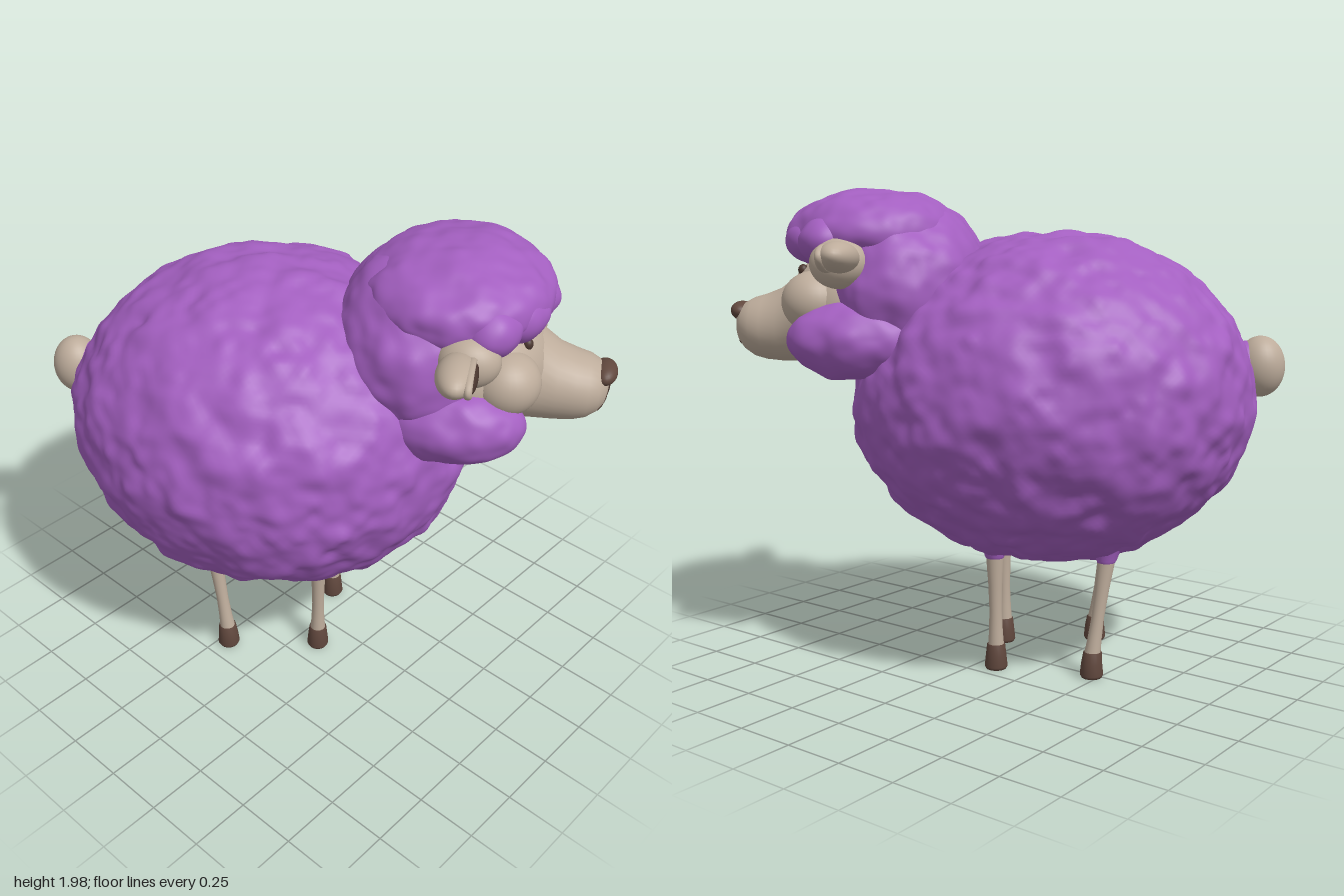
import * as THREE from 'three';
import { mergeVertices } from 'three/addons/utils/BufferGeometryUtils.js';

const mat = (name, color) => {
  const m = new THREE.MeshStandardMaterial({ color });
  m.name = name;
  return m;
};

// Smooth value noise, roughly -1..1
function hash(x, y, z) {
  let h = (Math.imul(x, 374761393) + Math.imul(y, 668265263) + Math.imul(z, 1274126177)) | 0;
  h = Math.imul(h ^ (h >>> 13), 1103515245);
  return ((h ^ (h >>> 16)) >>> 0) / 2147483648 - 1;
}
function noise(x, y, z) {
  const i = Math.floor(x), j = Math.floor(y), k = Math.floor(z);
  const s = (t) => t * t * (3 - 2 * t), mix = THREE.MathUtils.lerp;
  const u = s(x - i), v = s(y - j), w = s(z - k);
  const row = (b, c) => mix(hash(i, b, c), hash(i + 1, b, c), u);
  const plane = (c) => mix(row(j, c), row(j + 1, c), v);
  return mix(plane(k), plane(k + 1), w);
}

// Lumpy fleece ellipsoid
function woolGeometry(rx, ry, rz, detail, amp, seed) {
  let g = new THREE.IcosahedronGeometry(1, detail);
  g.deleteAttribute('uv');
  g.deleteAttribute('normal');
  g = mergeVertices(g, 1e-4);
  const p = g.attributes.position, v = new THREE.Vector3(), n = new THREE.Vector3();
  for (let i = 0; i < p.count; i++) {
    v.fromBufferAttribute(p, i).normalize();
    n.set(v.x / rx, v.y / ry, v.z / rz).normalize();
    v.set(v.x * rx, v.y * ry, v.z * rz);
    const a = noise(v.x * 10 + seed, v.y * 10, v.z * 10);
    const b = noise(v.x * 19, v.y * 19 + seed, v.z * 19);
    v.addScaledVector(n, amp * (a + 0.5 * b));
    p.setXYZ(i, v.x, v.y, v.z);
  }
  g.computeVertexNormals();
  return g;
}

// Loft of elliptical rings along z; each ring is [z, centreY, rx, ry]
function loftGeometry(rings, sides = 32) {
  const pos = [], idx = [];
  rings.forEach(([z, cy, rx, ry], r) => {
    for (let s = 0; s < sides; s++) {
      const a = (s / sides) * Math.PI * 2;
      pos.push(Math.cos(a) * rx, cy + Math.sin(a) * ry, z);
      if (r === 0) continue;
      const t = (s + 1) % sides, p = (r - 1) * sides, q = r * sides;
      idx.push(p + s, p + t, q + t, p + s, q + t, q + s);
    }
  });
  const g = new THREE.BufferGeometry();
  g.setAttribute('position', new THREE.Float32BufferAttribute(pos, 3));
  g.setIndex(idx);
  g.computeVertexNormals();
  return g;
}

export function createModel() {
  const wool = mat('purple wool', 0xa35fc0);
  const skin = mat('beige skin', 0xbdac9b);
  const brown = mat('hoof brown', 0x60473d);
  const dark = mat('dark brown', 0x4b372f);

  const model = new THREE.Group();
  model.name = 'sheep';
  const sheep = new THREE.Group();
  sheep.name = 'turnedSheep';
  sheep.rotation.y = 0.555;
  sheep.position.set(0.013, 0, -0.008);
  model.add(sheep);

  const add = (name, geometry, material, x, y, z, parent = sheep) => {
    const m = new THREE.Mesh(geometry, material);
    m.name = name;
    m.position.set(x, y, z);
    parent.add(m);
    return m;
  };
  const ball = (name, material, x, y, z, rx, ry, rz, parent) => {
    const m = add(name, new THREE.SphereGeometry(1, 32, 20), material, x, y, z, parent);
    m.scale.set(rx, ry, rz);
    return m;
  };
  const fleece = (name, x, y, z, rx, ry, rz, detail = 18, amp = 0.012) =>
    add(name, woolGeometry(rx, ry, rz, detail, amp, 7.3 + x * 3 + y), wool, x, y, z);

  // Body and tail
  fleece('body', 0, 1.125, -0.215, 0.742, 0.678, 0.832, 44, 0.017).rotation.x = 0.05;
  fleece('tailWool', 0, 1.25, -1.0, 0.09, 0.11, 0.07, 8, 0.006);
  ball('tail', skin, 0, 1.26, -1.06, 0.1, 0.125, 0.1);

  // Head fleece: back, crown and forehead curls
  fleece('headWool', 0, 1.57, 0.4, 0.45, 0.37, 0.36, 26);
  fleece('crownWool', 0, 1.79, 0.52, 0.4, 0.19, 0.37, 26);
  for (let i = -2; i <= 2; i++) {
    const a = i * 0.42;
    fleece('foreheadCurl', Math.sin(a) * 0.36, 1.775 - Math.abs(i) * 0.005,
      0.44 + Math.cos(a) * 0.34, 0.13, 0.1, 0.12, 10, 0.008);
  }

  // Face
  ball('face', skin, 0, 1.5, 0.58, 0.36, 0.26, 0.32);
  add('snout', loftGeometry([
    [0.62, 1.5, 0.27, 0.24], [0.76, 1.485, 0.22, 0.21], [0.85, 1.45, 0.175, 0.185],
    [0.93, 1.42, 0.155, 0.155], [1.0, 1.41, 0.148, 0.138], [1.05, 1.41, 0.136, 0.124],
    [1.09, 1.413, 0.11, 0.1], [1.115, 1.417, 0.075, 0.07], [1.125, 1.42, 0.035, 0.033],
    [1.128, 1.42, 0.001, 0.001],
  ]), skin, 0, 0, 0);

  // Nose with a flat top, and mouth lines
  const nose = ball('nose', brown, 0, 1.475, 1.105, 0.082, 0.042, 0.05);
  nose.rotation.x = -0.25;
  const line = (name, pts) => add(name, new THREE.TubeGeometry(
    new THREE.CatmullRomCurve3(pts.map((p) => new THREE.Vector3(...p))), 16, 0.006, 6), dark, 0, 0, 0);
  line('noseCrease', [[0, 1.45, 1.124], [0, 1.41, 1.128], [0, 1.372, 1.122]]);
  line('mouth', [[-0.075, 1.345, 1.09], [-0.04, 1.352, 1.108], [0, 1.372, 1.122],
    [0.04, 1.352, 1.108], [0.075, 1.345, 1.09]]);

  for (const s of [-1, 1]) {
    const side = s > 0 ? 'left' : 'right';
    fleece(side + 'CheekWool', s * 0.31, 1.375, 0.55, 0.165, 0.16, 0.28, 18, 0.01);
    ball(side + 'Cheek', skin, s * 0.23, 1.525, 0.735, 0.135, 0.125, 0.135);
    ball(side + 'Eye', dark, s * 0.15, 1.65, 0.802, 0.021, 0.024, 0.021);
    ball(side + 'EarBase', skin, s * 0.365, 1.68, 0.6, 0.095, 0.1, 0.12);

    // Ear: flattened shell with a rimmed dark opening
    const ear = new THREE.Group();
    ear.name = side + 'Ear';
    ear.position.set(s * 0.51, 1.705, 0.57);
    ear.rotation.z = s * 0.06;
    sheep.add(ear);
    ball('earShell', skin, 0, 0, 0, 0.14, 0.06, 0.075, ear);
    const rim = add('earRim', new THREE.TorusGeometry(1, 0.17, 12, 40), skin, 0, -0.005, 0.05, ear);
    rim.scale.set(0.11, 0.046, 0.09);
    ball('innerEar', dark, 0, -0.005, 0.06, 0.1, 0.036, 0.018, ear);

    // Legs: lathe profiles sheared from foot to hip
    for (const [end, fx, fz, hx, hz] of [['Front', 0.18, 0.01, 0.186, 0.015], ['Rear', 0.25, -0.39, 0.213, -0.447]]) {
      const turned = (name, profile, material) => {
        const g = new THREE.LatheGeometry(profile.map(([r, y]) => new THREE.Vector2(r, y)), 20);
        const p = g.attributes.position;
        for (let i = 0; i < p.count; i++) {
          const t = Math.max(0, (p.getY(i) - 0.08) / 0.42);
          p.setX(i, p.getX(i) + s * THREE.MathUtils.lerp(fx, hx, t));
          p.setZ(i, p.getZ(i) + THREE.MathUtils.lerp(fz, hz, t));
        }
        g.computeVertexNormals();
        add(side + end + name, g, material, 0, 0, 0);
      };
      turned('Leg', [[0.034, 0.09], [0.029, 0.16], [0.026, 0.25], [0.029, 0.36], [0.035, 0.46], [0.04, 0.58]], skin);
      turned('Hoof', [[0.001, 0], [0.042, 0], [0.048, 0.012], [0.043, 0.06], [0.038, 0.105], [0.03, 0.107]], brown);
      turned('LegWool', [[0.037, 0.475], [0.042, 0.485], [0.055, 0.54], [0.08, 0.6]], wool);
    }
  }
  return model;
}
